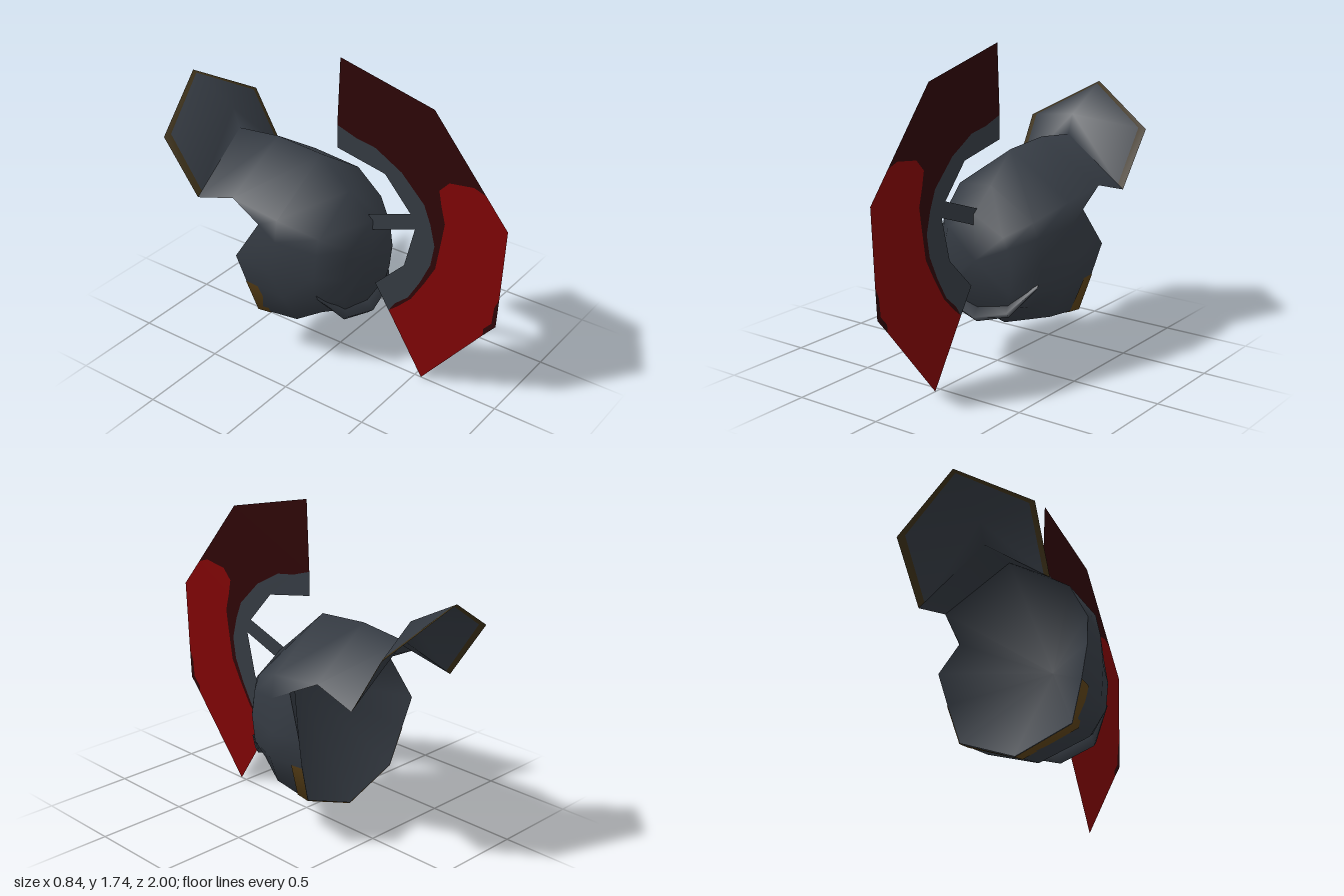
import * as THREE from 'three';
import { mergeVertices } from 'three/addons/utils/BufferGeometryUtils.js';

const mat = (name, color) =>
  new THREE.MeshStandardMaterial({ name, color, side: THREE.DoubleSide });

const mirror = ([x, y, z]) => [-x, y, z];
const lerp = (a, b, t) => a.map((v, i) => v + (b[i] - v) * t);

// Skin one smooth surface over patches, each a list of rows of points
function skin(...patches) {
  const pos = [];
  const tri = (a, b, c) => {
    const same = (p, q) => p.every((v, i) => v === q[i]);
    if (!same(a, b) && !same(b, c) && !same(a, c)) pos.push(...a, ...b, ...c);
  };
  for (const rows of patches) {
    for (let r = 0; r < rows.length - 1; r++) {
      for (let i = 0; i < rows[r].length - 1; i++) {
        const a = rows[r][i], b = rows[r][i + 1];
        const c = rows[r + 1][i + 1], d = rows[r + 1][i];
        tri(a, b, d);
        tri(b, c, d);
      }
    }
  }
  const geo = new THREE.BufferGeometry();
  geo.setAttribute('position', new THREE.Float32BufferAttribute(pos, 3));
  const merged = mergeVertices(geo);
  merged.computeVertexNormals();
  return merged;
}

// Mirror a half section about its last point: a closed loop or a symmetric strip
const both = (half) => [...half, ...half.slice(0, -1).reverse().map(mirror)];

export function createModel() {
  const model = new THREE.Group();
  const slate = mat('slate metal', 0x343a42);
  const gold = mat('dark gold trim', 0x3d3119);
  const bronze = mat('bronze rim trim', 0x5c4218);
  const red = mat('crest red', 0x7e0405);
  const darkRed = mat('crest dark red', 0x2d0506);
  const add = (name, geo, material) => {
    const m = new THREE.Mesh(geo, material);
    m.name = name;
    model.add(m);
  };

  // Bowl: half sections from front to back
  const front = [[0, 0.87, 0.21], [0.18, 0.77, 0.195], [0.2, 0.71, 0.19],
    [0.22, 0.6, 0.19], [0.21, 0.47, 0.18], [0.19, 0.4, 0.17], [0, 0.36, 0.18]];
  const brow = [[0, 1.0, 0.06], [0.28, 0.84, 0.07], [0.31, 0.76, 0.07],
    [0.33, 0.63, 0.07], [0.32, 0.48, 0.06], [0.25, 0.37, 0.06], [0, 0.28, 0.06]];
  const middle = [[0, 1.16, -0.12], [0.36, 0.92, -0.14], [0.385, 0.8, -0.14],
    [0.41, 0.62, -0.17], [0.37, 0.46, -0.11], [0.29, 0.29, -0.08], [0, 0.2, -0.07]];
  const rim = [[0, 1.18, -0.41], [0.355, 0.95, -0.44], [0.37, 0.86, -0.26],
    [0.42, 0.65, -0.38], [0.375, 0.48, -0.355], [0.31, 0.27, -0.33], [0, 0.15, -0.33]];
  const rimLoop = both(rim);
  const fill = (p) => rimLoop.map(() => p);

  // Neck guard: ridged roof, then an upturned six-sided plate
  const fold = [0, 1.15, -0.68], low = [0.365, 0.88, -0.68];
  const corner = [0.385, 1.19, -0.88], tip = [0, 1.41, -1], centre = [0, 1.26, -0.72];
  const inset = both([lerp(low, fold, 0.09), lerp(corner, centre, 0.1), lerp(tip, centre, 0.08)]);
  const plate = [fold, ...inset, fold];
  add('bowlAndNeckGuard', skin(
    [fill([0, 0.62, 0.2]), both(front), both(brow), both(middle), rimLoop],
    [[mirror(rim[1]), rim[0], rim[1]], [mirror(low), fold, low]],
    [plate, fill(centre).slice(0, plate.length)],
  ), slate);
  add('neckPlateTrim', skin([both([low, corner, tip]), inset]), gold);

  // Hollow inside of the bowl
  add('bowlInside', skin([rimLoop, fill([0, 0.76, 0.1])]), slate);

  // Thin trim around the lower rim
  const push = ([x, y, z]) => [x * 1.008, 0.65 + (y - 0.65) * 1.008, z];
  const outer = rim.slice(4).map(push);
  const inner = rim.slice(4).map((p, i) => push(lerp(p, middle[i + 4], 0.33)));
  add('lowerRimTrim', skin([both(inner), both(outer)]), bronze);

  // Brow ridge across the front, rooted inside the bowl
  const root = both([[0.3, 0.53, 0.04], [0.18, 0.44, 0.14], [0, 0.39, 0.15]]);
  add('browRidge', skin([
    root,
    both([[0.32, 0.51, 0.08], [0.2, 0.365, 0.195], [0, 0.31, 0.22]]),
    both([[0.31, 0.49, 0.075], [0.2, 0.34, 0.17], [0, 0.28, 0.185]]),
    root,
  ]), slate);

  // Flat crest standing on the centre plane; points are (z, y)
  const flat = (points) => new THREE.ShapeGeometry(
    new THREE.Shape(points.map(([z, y]) => new THREE.Vector2(z, y)))).rotateY(-Math.PI / 2);
  const innerEdge = [[-0.02, 1.23], [0.28, 1.17], [0.44, 0.99], [0.47, 0.91], [0.41, 0.67], [0.23, 0.49]];
  const bandEdge = [[-0.02, 1.36], [0.1, 1.32], [0.22, 1.3], [0.29, 1.26], [0.38, 1.21],
    [0.46, 1.13], [0.52, 1.07], [0.56, 0.97], [0.59, 0.85], [0.57, 0.73], [0.51, 0.6],
    [0.44, 0.48], [0.36, 0.41], [0.32, 0.35]];
  const redEdge = [[0.87, 1.236], [0.8, 1.26], [0.66, 1.24], [0.605, 1.18], [0.62, 1.1],
    [0.645, 1.0], [0.63, 0.9], [0.6, 0.72], [0.54, 0.61], [0.46, 0.48], [0.38, 0.4], [0.32, 0.35]];
  const nick = [[0.98, 0.68], [0.955, 0.62], [0.945, 0.52], [0.9, 0.47], [0.9, 0.43]];
  add('crestBand', flat([...innerEdge, ...[...bandEdge].reverse()]), slate);
  add('crestUpper', flat([...bandEdge, ...[...redEdge].reverse().slice(1), [0.56, 1.61], [0, 1.74]]), darkRed);
  add('crestFront', flat([...redEdge, [0.54, 0], ...[...nick].reverse(), [1, 1.08]]), red);
  add('crestNick', flat([...nick, [0.97, 0.51]]), darkRed);

  // Bar joining crest and bowl
  add('crestBar', flat([[0.44, 0.99], [0.47, 0.91], [0.18, 0.805], [0.2, 0.85], [0.17, 0.895]]), slate);

  return model;
}
